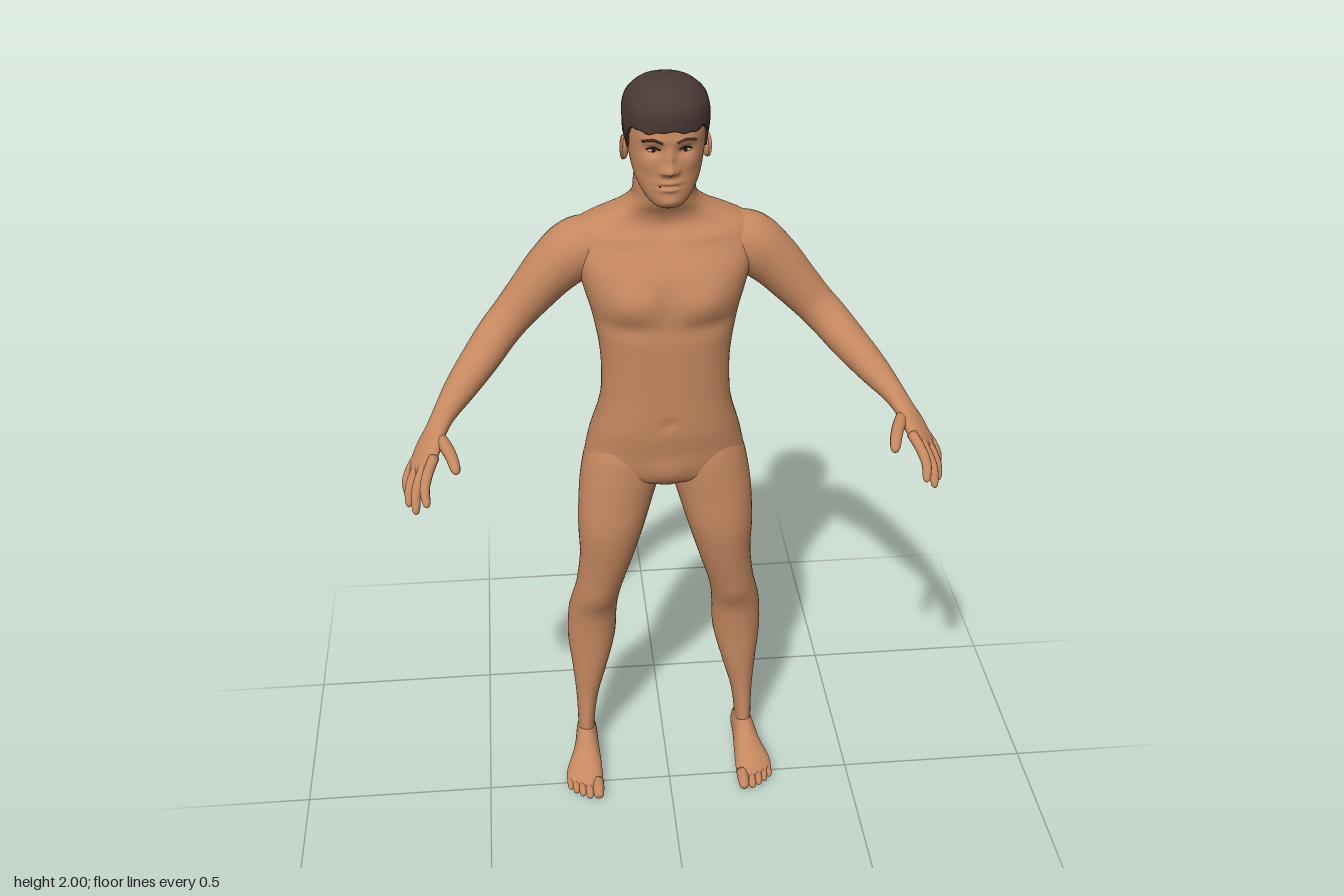
import * as THREE from 'three';

const V = (x, y, z) => new THREE.Vector3(x, y, z);
const paint = (name, color) => Object.assign(new THREE.MeshStandardMaterial({ color }), { name });

// Smooth (Hermite) lookup in rows of [key, value, value...]
function at(rows, k) {
  const last = rows.length - 1;
  let i = 0;
  while (i < last - 1 && k > rows[i + 1][0]) i++;
  const p = rows[i], q = rows[i + 1], h = q[0] - p[0];
  const t = THREE.MathUtils.clamp((k - p[0]) / h, 0, 1), t2 = t * t, t3 = t2 * t;
  const o = rows[Math.max(i - 1, 0)], r = rows[Math.min(i + 2, last)];
  return p.slice(1).map((a, c) => {
    const b = q[c + 1];
    const m = (b - o[c + 1]) / (q[0] - o[0]) * h, n = (r[c + 1] - a) / (r[0] - p[0]) * h;
    return (2 * t3 - 3 * t2 + 1) * a + (t3 - 2 * t2 + t) * m + (3 * t2 - 2 * t3) * b + (t3 - t2) * n;
  });
}

// Skin a list of rings (anticlockwise about the direction of travel), closing both ends
function skin(rings) {
  const n = rings[0].length, m = rings.length, idx = [];
  const pts = rings.flat();
  for (const ring of [rings[0], rings[m - 1]])
    pts.push(ring.reduce((s, p) => s.add(p), V(0, 0, 0)).divideScalar(n));
  for (let j = 0; j < m - 1; j++) for (let i = 0; i < n; i++) {
    const k = (i + 1) % n, a = j * n + i, b = j * n + k, c = b + n, d = a + n;
    idx.push(a, b, c, a, c, d);
  }
  for (let i = 0; i < n; i++) {
    const k = (i + 1) % n;
    idx.push(m * n, k, i, m * n + 1, (m - 1) * n + i, (m - 1) * n + k);
  }
  const g = new THREE.BufferGeometry().setFromPoints(pts);
  g.setIndex(idx);
  g.computeVertexNormals();
  return g;
}

const spow = (v, n) => Math.sign(v) * Math.abs(v) ** (2 / n);

// Sculpted relief: bumps are [x, y, spreadX, spreadY, height], mirrored in x
const relief = (bumps, x, y) => bumps.reduce((s, [bx, by, sx, sy, h]) =>
  s + h * Math.exp(-(((Math.abs(x) - bx) / sx) ** 2) - ((y - by) / sy) ** 2), 0);

// One point on an upright form; rows are [y, centreX, halfWidth, frontZ, backZ]
function sectionPoint(rows, y, a, n, front = [], back = []) {
  const [cx, w, zf, zb] = at(rows, y);
  const c = Math.cos(a), x = cx + w * spow(Math.sin(a), n);
  const z = (zf + zb) / 2 + (zf - zb) / 2 * spow(c, n);
  const push = c > 0 ? relief(front, x, y) : -relief(back, x, y);
  return V(x, y, z + push * Math.min(1, Math.abs(c) * 2));
}

function upright(rows, steps, segs, n, front, back) {
  const y0 = rows[0][0], y1 = rows[rows.length - 1][0], rings = [];
  for (let j = 0; j <= steps; j++) {
    const y = y0 + (y1 - y0) * (0.5 - Math.cos(Math.PI * j / steps) / 2);
    rings.push(Array.from({ length: segs }, (_, i) => sectionPoint(rows, y, i / segs * Math.PI * 2, n, front, back)));
  }
  return skin(rings);
}

// Limb along stations [x, y, z, radiusA, radiusB]; radiusA lies towards the hint
function limb(stations, hint, steps, segs) {
  const path = new THREE.CatmullRomCurve3(stations.map(s => V(s[0], s[1], s[2])));
  const radii = stations.map((s, i) => [i, s[3], s[4] ?? s[3]]), rings = [];
  for (let j = 0; j <= steps; j++) {
    const t = j / steps, c = path.getPoint(t), d = path.getTangent(t);
    const e1 = hint.clone().addScaledVector(d, -hint.dot(d)).normalize(), e2 = d.clone().cross(e1);
    const [a, b] = at(radii, t * (stations.length - 1));
    rings.push(Array.from({ length: segs }, (_, i) => {
      const q = i / segs * Math.PI * 2;
      return c.clone().addScaledVector(e1, a * Math.cos(q)).addScaledVector(e2, b * Math.sin(q));
    }));
  }
  return skin(rings);
}

// Finger or toe: three points and a radius, with a rounded tip
function digit(p, q, r, radius, hint) {
  const path = new THREE.CatmullRomCurve3([p, q, r]);
  return limb([[0, 1], [0.3, 1], [0.6, 0.93], [0.85, 0.8], [0.96, 0.55], [1, 0.08]].map(([t, f]) =>
    [...path.getPoint(t).toArray(), radius * f]), hint, 20, 12);
}

function mirrored(g) {
  const m = g.clone().scale(-1, 1, 1), ix = m.index.array;
  for (let i = 0; i < ix.length; i += 3) [ix[i], ix[i + 1]] = [ix[i + 1], ix[i]];
  m.computeVertexNormals();
  return m;
}

export function createModel() {
  const skinTone = paint('skin', 0xc58860), hairTone = paint('hair brown', 0x4c3a34);
  const dark = paint('dark brown', 0x2c1d18), white = paint('eye white', 0xd9c9ba);
  const root = new THREE.Group();
  root.name = 'standingFigure';
  const add = (name, g, mat = skinTone) => {
    const m = new THREE.Mesh(g, mat);
    m.name = name;
    root.add(m);
  };
  const pair = (name, g, mat) => { add(name + 'Left', g, mat); add(name + 'Right', mirrored(g), mat); };

  // Torso and neck
  const torso = [[.935, .04, -.06, -.16], [.96, .165, -.035, -.222], [1, .2, -.022, -.25], [1.05, .195, -.014, -.258],
    [1.1, .182, -.006, -.245], [1.15, .168, -.004, -.226], [1.2, .16, -.004, -.215], [1.3, .16, -.003, -.222],
    [1.4, .176, -.003, -.238], [1.47, .195, -.005, -.25], [1.53, .212, -.02, -.255], [1.58, .222, -.05, -.254],
    [1.62, .215, -.073, -.246], [1.645, .17, -.083, -.236], [1.67, .115, -.078, -.22], [1.7, .08, -.06, -.205],
    [1.74, .073, -.052, -.195], [1.79, .07, -.05, -.19]].map(([y, ...r]) => [y, 0, ...r]);
  const chest = [[.09, 1.465, .06, .045, .014], [0, 1.46, .02, .09, -.007], [.09, 1.4, .07, .02, -.007],
    [0, 1.14, .01, .012, -.008], [0, .99, .05, .035, .008], [.09, 1.61, .07, .01, .006], [0, 1.63, .02, .02, -.008]];
  const backRelief = [[0, 1.36, .022, .2, -.013], [.1, 1.5, .045, .07, .007], [0, 1.02, .016, .055, -.035],
    [.085, 1.04, .06, .05, .01], [.045, 1.25, .03, .09, .004]];
  add('torso', upright(torso, 100, 72, 2.3, chest, backRelief));

  // Legs
  const leg = [[.05, .195, .25, -.1, -.198], [.1, .2, .246, -.1, -.194], [.2, .187, .248, -.106, -.2],
    [.3, .16, .256, -.102, -.216], [.4, .136, .265, -.1, -.226], [.5, .13, .26, -.09, -.212],
    [.55, .125, .25, -.073, -.194], [.6, .115, .238, -.058, -.186], [.7, .085, .226, -.036, -.19],
    [.8, .055, .228, -.021, -.202], [.9, .026, .223, -.024, -.217], [.96, .008, .215, -.026, -.232],
    [1.02, .006, .2, -.03, -.24], [1.1, .03, .16, -.05, -.21]]
    .map(([y, xi, xo, zf, zb]) => [y, (xi + xo) / 2, (xo - xi) / 2, zf, zb]);
  pair('leg', upright(leg, 70, 40, 2.1, [[.18, .57, .03, .035, .006]]));

  // Feet: stations are [z, centreX, halfWidth, top, bottom], the front edge slanting to the small toe
  const foot = limb([[-.207, .222, .008, .035, .018], [-.2, .222, .02, .055, .006], [-.18, .222, .027, .085, .001],
    [-.14, .223, .03, .105, 0], [-.1, .225, .033, .103, 0], [-.06, .228, .039, .083, .002], [-.02, .233, .046, .062, .003],
    [.02, .237, .05, .045, .002], [.045, .238, .047, .032, .002], [.056, .238, .04, .022, .006]]
    .map(([z, x, w, t, b]) => [x, (t + b) / 2, z, w, (t - b) / 2]), V(1, 0, 0), 40, 32);
  const fp = foot.attributes.position;
  for (let i = 0; i < fp.count; i++) {
    const z = fp.getZ(i), k = THREE.MathUtils.clamp((z + .1) / .15, 0, 1);
    fp.setZ(i, z - Math.max(0, fp.getX(i) - .22) * .55 * k);
  }
  foot.computeVertexNormals();
  pair('foot', foot);
  [[.202, .085, .016], [.226, .08, .0115], [.245, .069, .011], [.262, .055, .0105], [.277, .038, .01]].forEach(([x, z, r], i) =>
    pair('toe' + (i + 1), digit(V(x, r + .008, z - .06), V(x, r + .007, z - .025), V(x, r, z), r, V(1, 0, 0))));

  // Arms, running on into the palms
  const across = V(-.6, .27, .8).normalize();
  pair('arm', limb([[.14, 1.575, -.155, .065], [.205, 1.557, -.157, .075], [.265, 1.51, -.155, .067], [.32, 1.45, -.15, .058],
    [.37, 1.395, -.14, .051], [.405, 1.36, -.12, .049], [.45, 1.315, -.075, .049, .045], [.5, 1.27, -.015, .041, .038],
    [.54, 1.235, .045, .031, .027], [.56, 1.213, .08, .032, .022], [.58, 1.185, .115, .042, .02],
    [.597, 1.156, .148, .044, .016], [.606, 1.141, .164, .036, .008]], across, 80, 36));

  // Fingers and thumbs
  [['index', .578, 1.165, .176, .585, 1.11, .262, .0125], ['middle', .59, 1.16, .159, .614, 1.075, .235, .0125],
    ['ring', .604, 1.152, .141, .632, 1.073, .197, .012], ['little', .617, 1.146, .124, .638, 1.084, .156, .0105]]
    .forEach(([name, x, y, z, X, Y, Z, r]) => {
      const base = V(x, y, z), tip = V(X, Y, Z), mid = base.clone().lerp(tip, .5).add(V(.007, .009, .003));
      pair(name + 'Finger', digit(base.add(V(-.012, .018, -.018)), mid, tip, r, across));
    });
  pair('thumb', digit(V(.556, 1.205, .1), V(.528, 1.193, .165), V(.513, 1.172, .22), .0155, across));

  // Head with sculpted face
  const head = [[1.714, .018, -.005, -.05], [1.722, .036, .009, -.07], [1.74, .054, .015, -.1], [1.77, .071, .017, -.14],
    [1.8, .081, .016, -.17], [1.85, .089, .016, -.19], [1.9, .092, .016, -.198], [1.95, .084, 0, -.185],
    [1.985, .04, -.04, -.13]].map(([y, ...r]) => [y, 0, ...r]);
  const face = [[0, 1.814, .014, .012, .024], [0, 1.838, .009, .022, .013], [.015, 1.809, .007, .007, .007],
    [.036, 1.856, .019, .012, -.009], [.034, 1.88, .027, .009, .004], [0, 1.783, .022, .006, .006],
    [0, 1.767, .019, .006, .006], [0, 1.775, .026, .003, -.004], [0, 1.737, .02, .012, .006], [.052, 1.825, .018, .018, .004]];
  add('head', upright(head, 110, 112, 2.2, face));
  const faceZ = (x, y) => {
    const [, w, zf, zb] = at(head, y);
    return (zf + zb) / 2 + (zf - zb) / 2 * (1 - Math.abs(x / w) ** 2.2) ** (1 / 2.2) + relief(face, x, y);
  };

  // Eyes, lids, brows and the line of the mouth
  const ball = (x, y, z, a, b, c) => new THREE.SphereGeometry(1, 20, 14).scale(a, b, c).translate(x, y, z);
  const line = (pts, r, lift) => new THREE.TubeGeometry(new THREE.CatmullRomCurve3(
    pts.map(([x, y]) => V(x, y, faceZ(x, y) + lift))), 16, r, 6);
  const eyeZ = faceZ(.036, 1.857);
  pair('eye', ball(.036, 1.857, eyeZ - .002, .014, .0055, .005), white);
  pair('iris', ball(.036, 1.857, eyeZ + .001, .005, .005, .0035), dark);
  pair('upperLid', line([[.021, 1.859], [.036, 1.864], [.051, 1.858]], .002, .001), dark);
  pair('brow', line([[.016, 1.877], [.036, 1.884], [.06, 1.877]], .0032, 0), hairTone);
  add('mouthLine', line([[-.025, 1.774], [0, 1.775], [.025, 1.774]], .0012, 0), dark);

  // Ears
  pair('ear', ball(0, 0, 0, .007, .026, .016).rotateX(-.15).rotateY(.35).translate(.092, 1.828, -.096));
  pair('earRim', new THREE.TorusGeometry(.019, .004, 8, 24).scale(.75, 1.25, 1).rotateY(Math.PI / 2 + .35)
    .rotateX(-.15).translate(.097, 1.829, -.097));

  // Hair cap: its lower edge runs by angle from the brow, past the ears, to the nape
  const hair = [[1.74, .066, .01, -.185], [1.78, .081, .016, -.198], [1.85, .095, .022, -.21], [1.9, .1, .03, -.214],
    [1.95, .095, .031, -.204], [1.98, .07, .008, -.172], [1.994, .038, -.03, -.13], [2, .002, -.08, -.084]]
    .map(([y, ...r]) => [y, 0, ...r]);
  const edge = [[0, 1.908], [.5, 1.9], [.9, 1.905], [1.15, 1.885], [1.3, 1.842], [1.42, 1.85], [1.52, 1.865], [1.75, 1.862],
    [1.95, 1.815], [2.3, 1.78], [Math.PI, 1.768]];
  const rings = [];
  for (let j = -1; j <= 36; j++) rings.push(Array.from({ length: 80 }, (_, i) => {
    const a = i / 80 * Math.PI * 2, low = at(edge, Math.min(a, 2 * Math.PI - a))[0] + .002 * Math.sin(a * 17);
    const v = Math.max(j, 0) / 36, y = low + (2 - low) * Math.sin(v * Math.PI / 2);
    const p = sectionPoint(hair, y, a, 2.15);
    const k = j < 0 ? .85 : 1 + .009 * Math.sin(a * 9 + y * 60) * (1 - v);
    return V(p.x * k, p.y, -.09 + (p.z + .09) * k);
  }));
  add('hair', skin(rings), hairTone);
  return root;
}
